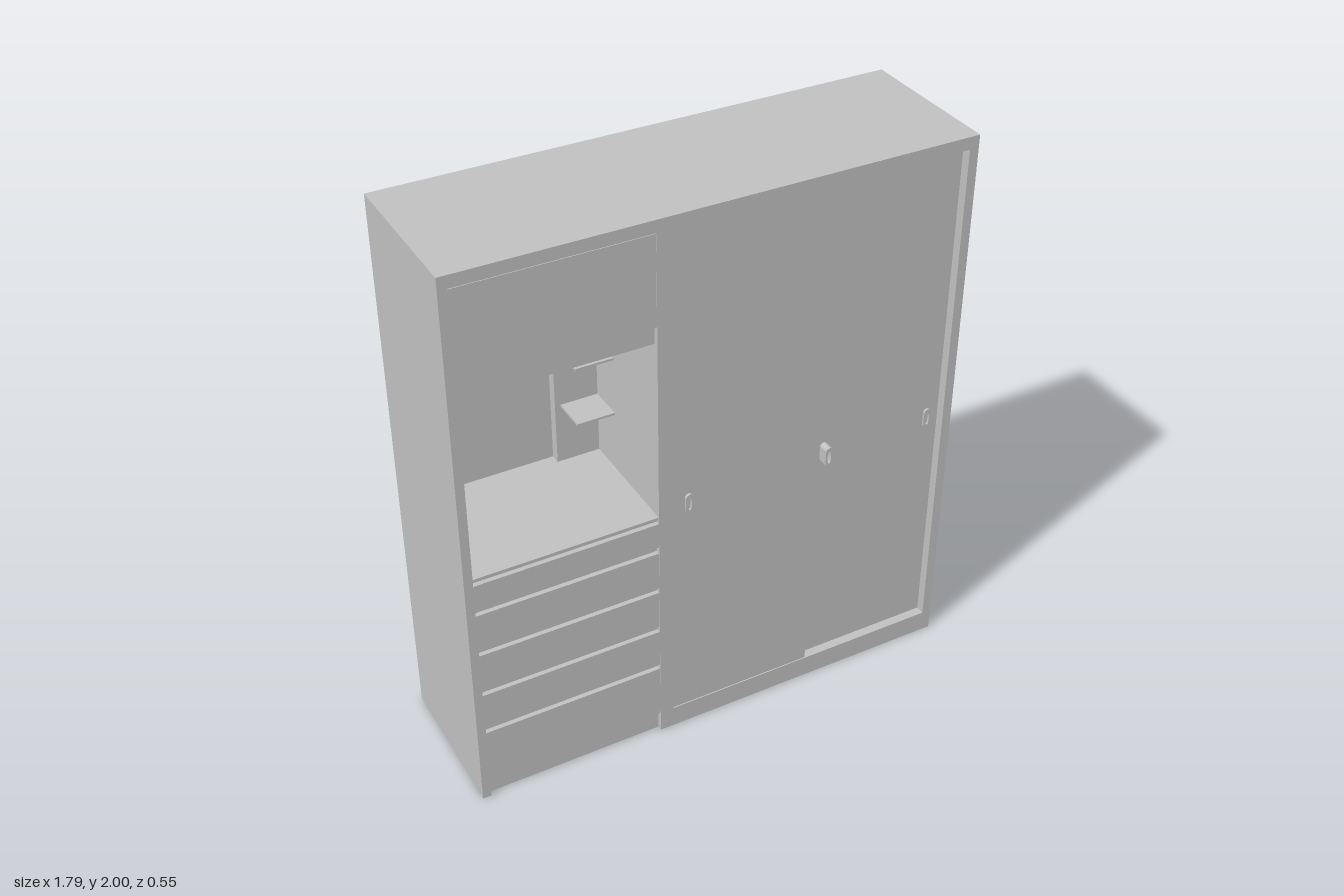
import * as THREE from 'three';

export function createModel() {
  const model = new THREE.Group();
  model.name = 'wardrobe';
  const grey = new THREE.MeshStandardMaterial({ color: 0xc0c0c0 });
  grey.name = 'plain grey';

  // Panel given by its minimum and maximum on each axis
  function panel(name, x0, x1, y0, y1, z0, z1) {
    const mesh = new THREE.Mesh(new THREE.BoxGeometry(x1 - x0, y1 - y0, z1 - z0), grey);
    mesh.position.set((x0 + x1) / 2, (y0 + y1) / 2, (z0 + z1) / 2);
    mesh.name = name;
    model.add(mesh);
  }

  const L = -0.895, R = 0.893, B = -0.273, F = 0.268;
  const inL = -0.865, inR = 0.86, divL = -0.227, divR = -0.177;

  // Carcass
  panel('rightSide', L, inL, 0, 2, B, F);
  panel('leftSide', inR, R, 0, 2, B, F);
  panel('top', inL, inR, 1.957, 2, B, F);
  panel('back', inL, inR, 0, 1.957, B, B + 0.015);
  panel('divider', divL, divR, 0, 1.957, B + 0.015, F);
  panel('closetBase', divR, inR, 0, 0.08, B + 0.015, F);

  // Sliding doors, the second running behind the first
  panel('frontSlidingDoor', divR, 0.355, 0.08, 1.957, 0.24, 0.264);
  panel('rearSlidingDoor', 0.335, inR, 0.08, 1.957, 0.21, 0.235);

  // Oval door pulls
  function pull(x, z0, z1) {
    const oval = new THREE.Shape();
    oval.absarc(0, 0.024, 0.014, 0, Math.PI);
    oval.absarc(0, -0.024, 0.014, Math.PI, Math.PI * 2);
    oval.closePath();
    const slot = new THREE.Path();
    slot.absellipse(0, 0, 0.007, 0.025, 0, Math.PI * 2);
    oval.holes.push(slot);
    const mesh = new THREE.Mesh(
      new THREE.ExtrudeGeometry(oval, { depth: z1 - z0, bevelEnabled: false, curveSegments: 8 }), grey);
    mesh.position.set(x, 0.95, z0);
    mesh.name = 'doorPull';
    model.add(mesh);
  }
  pull(-0.118, 0.262, 0.273);
  pull(0.405, 0.233, 0.273);
  pull(0.815, 0.233, 0.243);

  // Drawer stack on a recessed backing, open underneath
  panel('plinth', inL, divL, 0, 0.925, 0.235, 0.25);
  const drawers = [[0.08, 0.285], [0.305, 0.45], [0.475, 0.62], [0.64, 0.785], [0.81, 0.905]];
  for (const [y0, y1] of drawers) panel('drawerFront', inL, divL, y0, y1, 0.25, 0.266);
  panel('counter', inL, divL, 0.922, 0.932, B + 0.015, 0.266);

  // Open niche with a recessed centre in its back
  const nz = -0.155;
  panel('nicheBackRight', inL, -0.785, 0.932, 1.575, nz - 0.035, nz);
  panel('nicheBackLeft', -0.38, divL, 0.932, 1.575, nz - 0.035, nz);
  panel('nicheBackTop', -0.785, -0.38, 1.45, 1.575, nz - 0.035, nz);
  panel('nicheRecess', inL, divL, 0.932, 1.575, nz - 0.05, nz - 0.035);
  panel('nicheCanopy', -0.825, -0.28, 1.45, 1.575, nz, -0.03);
  for (const y of [1.15, 1.36]) panel('nicheShelf', -0.36, divL, y - 0.004, y + 0.004, nz, -0.03);

  // Upper cupboard over the niche
  panel('nicheCeiling', inL, divL, 1.575, 1.64, B + 0.015, 0.25);
  panel('upperDoor', inL, divL, 1.64, 1.954, 0.245, 0.266);

  return model;
}
